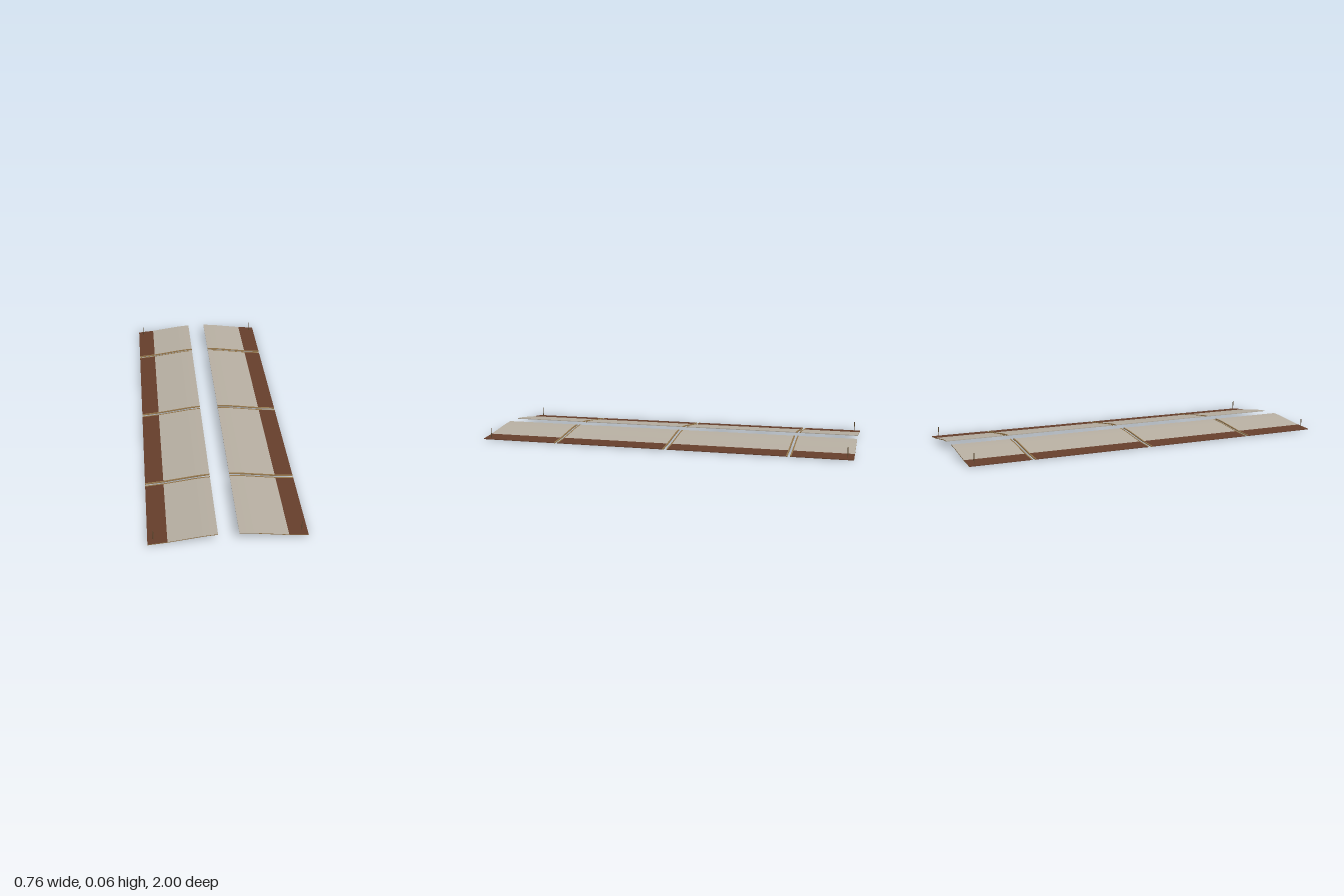
import * as THREE from 'three';

const mat = (name, color) => {
  const m = new THREE.MeshStandardMaterial({ color });
  m.name = name;
  return m;
};

export function createModel() {
  const root = new THREE.Group();
  root.name = 'slopedPanels';
  const stone = mat('paleStone', 0xb5ada0);
  const brown = mat('redBrown', 0x653e2b);
  const wood = mat('tanWood', 0x92754c);
  const pinWood = mat('darkWood', 0x5e4a30);

  // Mid-line of the gently curved slope, from inner edge to outer edge
  const inner = [[0.05, 0.042], [0.085, 0.0395], [0.12, 0.036], [0.2, 0.0245], [0.285, 0.0125]];
  const outer = [[0.285, 0.0125], [0.33, 0.0085], [0.378, 0.004]];
  const whole = [...inner, ...outer.slice(1)];

  // Thin curved slab following a mid-line between two depths
  function slab(name, line, side, z0, z1, half, materials) {
    const top = line.map(([x, y]) => new THREE.Vector2(side * x, y + half));
    const bottom = line.map(([x, y]) => new THREE.Vector2(side * x, y - half)).reverse();
    const geo = new THREE.ExtrudeGeometry(new THREE.Shape([...top, ...bottom]),
      { depth: z1 - z0, bevelEnabled: false });
    geo.translate(0, 0, z0);
    const mesh = new THREE.Mesh(geo, materials);
    mesh.name = name;
    return mesh;
  }

  const spans = [[-1, -0.686], [-0.673, -0.045], [-0.03, 0.565], [0.578, 1]];
  for (const side of [1, -1]) {
    const wing = new THREE.Group();
    wing.name = side > 0 ? 'leftSlope' : 'rightSlope';
    for (const [z0, z1] of spans) {
      wing.add(slab('panel', inner, side, z0, z1, 0.002, [wood, stone]));
      wing.add(slab('outerBand', outer, side, z0, z1, 0.002, [wood, brown]));
      // Wooden lips along the gaps between panels
      if (z0 > -1) wing.add(slab('seamLip', whole, side, z0, z0 + 0.007, 0.0026, wood));
      if (z1 < 1) wing.add(slab('seamLip', whole, side, z1 - 0.007, z1, 0.0026, wood));
    }
    // Upright pins at the outer corners
    for (const z of [-0.968, 0.968]) {
      const pin = new THREE.Mesh(new THREE.CylinderGeometry(0.002, 0.002, 0.061, 8), pinWood);
      pin.name = 'cornerPin';
      pin.position.set(side * 0.35, 0.0305, z);
      wing.add(pin);
    }
    root.add(wing);
  }
  return root;
}
